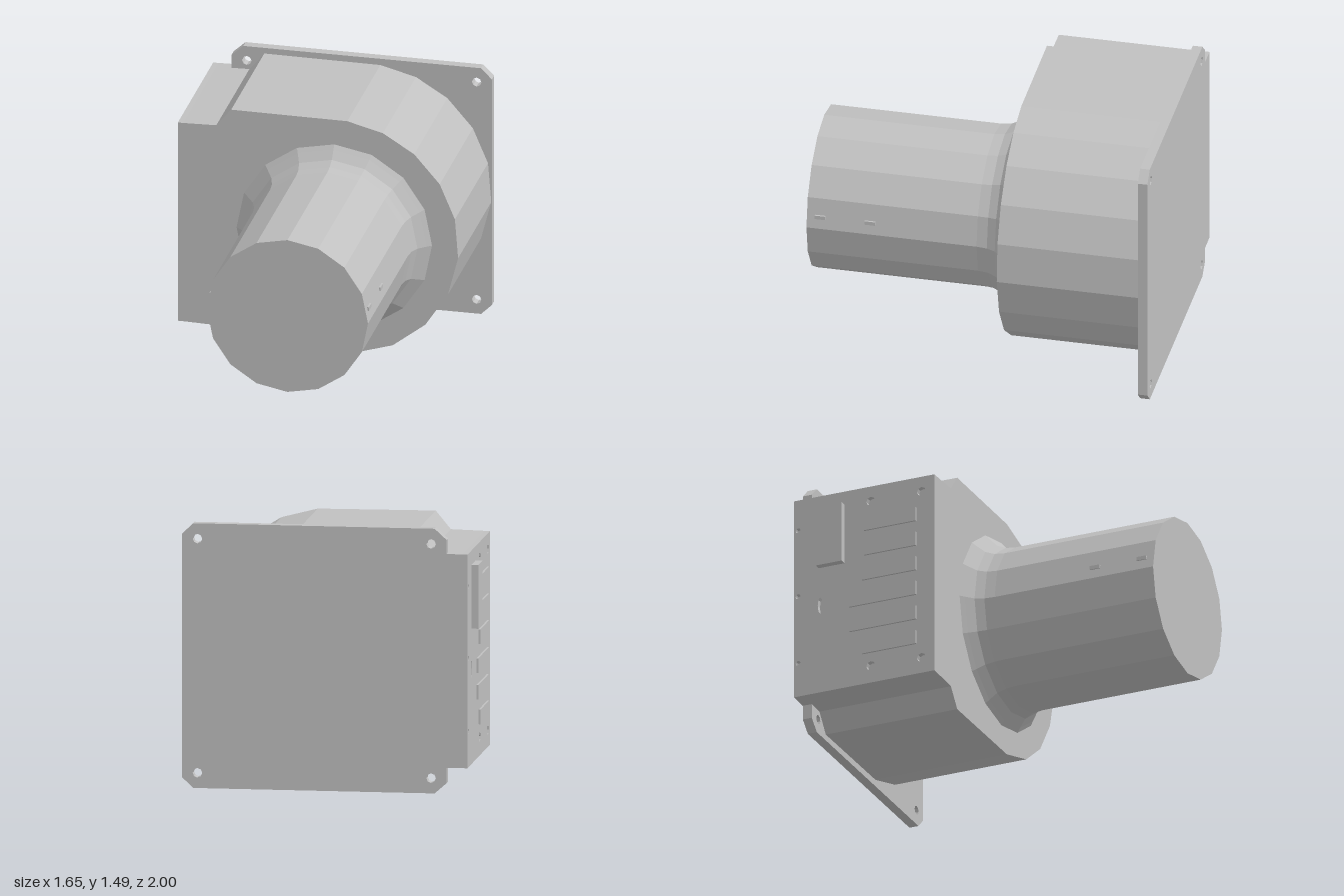
import * as THREE from 'three';

const grey = new THREE.MeshStandardMaterial({ color: 0xc0c0c0 });
grey.name = 'metal grey';

const CX = 0.11, CY = 0.747; // axis of barrel and rounded housing side

export function createModel() {
  const model = new THREE.Group();

  const add = (name, geometry, x = 0, y = 0, z = 0) => {
    const mesh = new THREE.Mesh(geometry, grey);
    mesh.name = name;
    mesh.position.set(x, y, z);
    model.add(mesh);
    return mesh;
  };
  const box = (name, x0, x1, y0, y1, z0, z1) =>
    add(name, new THREE.BoxGeometry(x1 - x0, y1 - y0, z1 - z0), (x0 + x1) / 2, (y0 + y1) / 2, (z0 + z1) / 2);
  const outline = (points) => new THREE.Shape(points.map(([x, y]) => new THREE.Vector2(x, y)));
  const drill = (shape, x, y, rx, ry = rx) => {
    const hole = new THREE.Path();
    hole.absellipse(x, y, rx, ry, 0, Math.PI * 2, true);
    shape.holes.push(hole);
  };
  const extrude = (shape, depth) =>
    new THREE.ExtrudeGeometry(shape, { depth, bevelEnabled: false, curveSegments: 4 });

  // Mounting plate with clipped corners and four screw holes
  const plate = outline([
    [-0.6, 0], [0.76, 0], [0.822, 0.06], [0.822, 1.43], [0.76, 1.492],
    [-0.6, 1.492], [-0.668, 1.43], [-0.668, 0.06],
  ]);
  for (const x of [-0.58, 0.735]) for (const y of [0.086, 1.406]) drill(plate, x, y, 0.027);
  add('mountingPlate', extrude(plate, 0.055), 0, 0, -1);

  // Housing: stepped on one side, faceted half round on the other
  const arc = [-84, -62, -43, -24, -5, 14, 32, 50, 67, 84].map((deg) => {
    const a = THREE.MathUtils.degToRad(deg);
    return [CX + 0.711 * Math.cos(a), CY + 0.711 * Math.sin(a)];
  });
  const housing = outline([
    [-0.755, 0.146], [-0.565, 0.141], [-0.48, 0.036], ...arc,
    [-0.48, 1.458], [-0.565, 1.355], [-0.755, 1.35],
  ]);
  add('housing', extrude(housing, 0.86), 0, 0, -1);

  // Connector panel with its holes, drawn in z and y
  const panel = outline([[-1, 0.146], [-0.14, 0.146], [-0.14, 1.35], [-1, 1.35]]);
  for (const [z, y] of [[-0.22, 1.26], [-0.53, 1.26], [-0.22, 0.24], [-0.53, 0.25]]) drill(panel, z, y, 0.027);
  for (const y of [0.35, 0.76, 1.165]) drill(panel, -0.975, y, 0.015);
  drill(panel, -0.84, 0.68, 0.015, 0.05);
  add('connectorPanel', extrude(panel, 0.03).rotateY(-Math.PI / 2), -0.755);

  // Connector block and six raised bars
  box('connectorBlock', -0.825, -0.78, 0.91, 1.27, -0.85, -0.69);
  [-0.58, -0.66, -0.66, -0.58, -0.57, -0.57].forEach((back, i) => {
    const y = 0.37 + i * 0.151;
    box('terminalBar', -0.796, -0.78, y - 0.041, y + 0.041, back, -0.25);
  });

  // Barrel with flared neck, turned about z
  const profile = [
    [0.565, -0.145], [0.535, -0.12], [0.49, -0.08], [0.468, -0.03], [0.461, 0.03], [0.461, 1], [0, 1],
  ].map(([r, z]) => new THREE.Vector2(r, z));
  const barrel = new THREE.LatheGeometry(profile, 16).toNonIndexed();
  barrel.rotateX(Math.PI / 2);
  barrel.computeVertexNormals();
  add('barrel', barrel, CX, CY);

  // Small keys on both sides of the barrel
  for (const side of [-1, 1]) {
    for (const z of [0.64, 0.925]) {
      add('barrelKey', new THREE.BoxGeometry(0.02, 0.022, 0.06), CX + side * 0.446, 0.815, z);
    }
  }

  return model;
}
